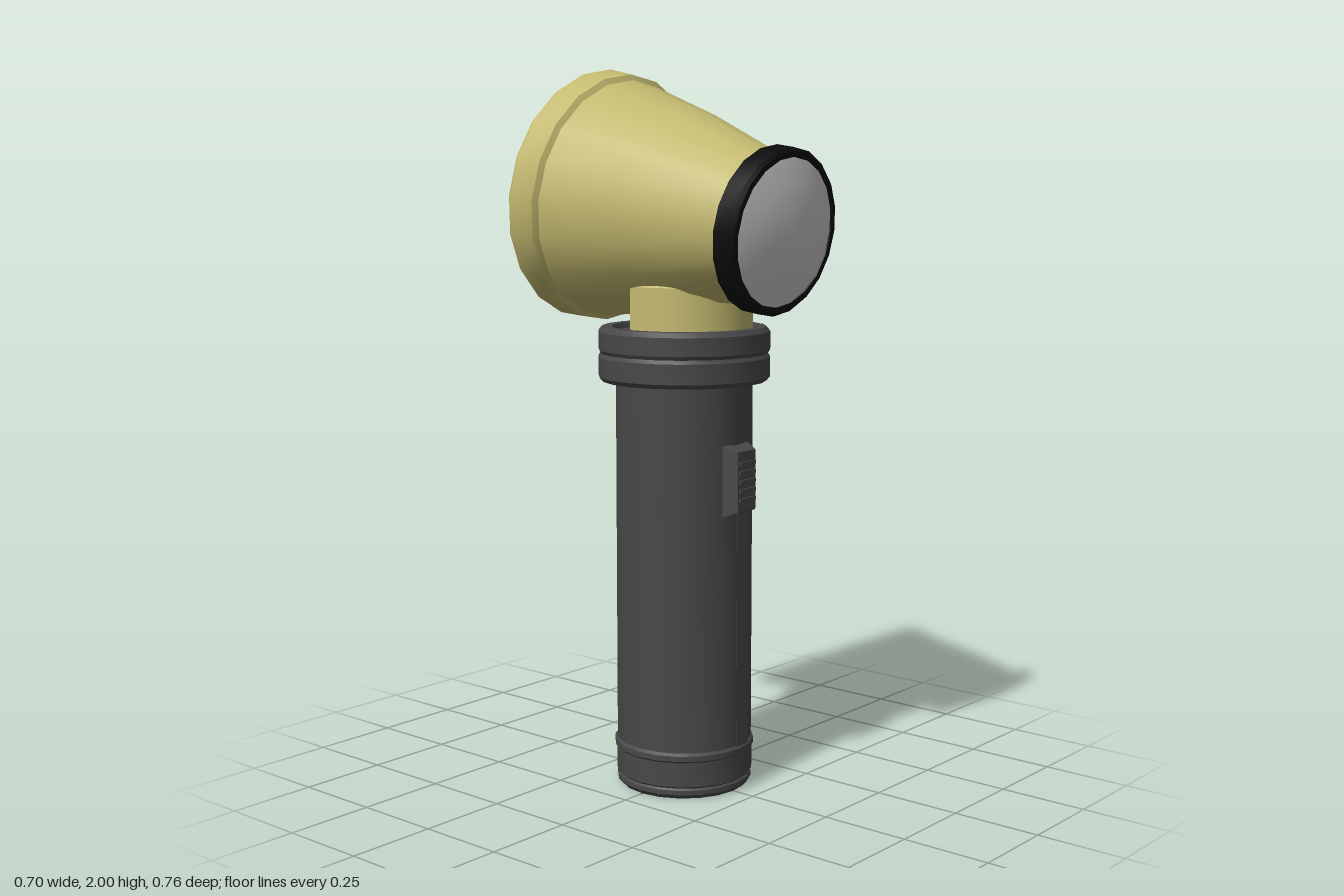
import * as THREE from 'three';
import { toCreasedNormals } from 'three/addons/utils/BufferGeometryUtils.js';

const SIDES = 20;
const mat = (color) => new THREE.MeshStandardMaterial({ color });
const khaki = mat(0xc4ba70);
const dark = mat(0x484848);
const black = mat(0x0c0c0c);
const grey = mat(0xcccccc);

function add(parent, name, geometry, material) {
  const mesh = new THREE.Mesh(geometry, material);
  mesh.name = name;
  parent.add(mesh);
  return mesh;
}

// Revolves a list of [radius, height] points, keeping hard edges
function lathe(points, crease = 0.45) {
  const profile = points.map(([r, y]) => new THREE.Vector2(r, y));
  return toCreasedNormals(new THREE.LatheGeometry(profile, SIDES), crease);
}

// Box whose front face is narrowed on all sides
function taperedBox(w, h, d, inset) {
  const geometry = new THREE.BoxGeometry(w, h, d);
  const p = geometry.attributes.position;
  for (let i = 0; i < p.count; i++) {
    if (p.getZ(i) > 0) {
      p.setX(i, p.getX(i) - Math.sign(p.getX(i)) * inset);
      p.setY(i, p.getY(i) - Math.sign(p.getY(i)) * inset);
    }
  }
  geometry.computeVertexNormals();
  return geometry;
}

function makeHandle() {
  const handle = new THREE.Group();
  handle.name = 'handle';

  // Barrel with end cap bands
  add(handle, 'barrel', lathe([
    [0, 0], [0.18, 0], [0.19, 0.012], [0.19, 0.025], [0.185, 0.03], [0.192, 0.036],
    [0.192, 0.105], [0.197, 0.11], [0.197, 0.125], [0.19, 0.132], [0.19, 1.16],
  ]), dark);

  // Collar with a groove around its middle
  add(handle, 'collar', lathe([
    [0.185, 1.145], [0.228, 1.145], [0.238, 1.157], [0.238, 1.212], [0.232, 1.222],
    [0.238, 1.232], [0.238, 1.282], [0.228, 1.295], [0.2, 1.295], [0.195, 1.28], [0, 1.28],
  ]), dark);

  // Rail below the switch
  add(handle, 'switchRail', new THREE.BoxGeometry(0.05, 0.66, 0.02), dark)
    .position.set(0.025, 0.46, 0.181);

  // Sliding switch with grip ridges
  add(handle, 'switchBase', taperedBox(0.12, 0.21, 0.06, 0.022), dark)
    .position.set(0, 0.885, 0.193);
  for (let i = 0; i < 5; i++) {
    add(handle, 'switchRidge', new THREE.BoxGeometry(0.065, 0.01, 0.012), dark)
      .position.set(0, 0.835 + i * 0.025, 0.223);
  }
  return handle;
}

// Half-round support between collar and head
function makeNeck() {
  const r = 0.18, back = Math.asin(0.02 / r);
  const shape = new THREE.Shape();
  shape.absarc(0, 0, r, Math.PI - back, Math.PI * 2 + back, false);
  shape.closePath();
  const geometry = new THREE.ExtrudeGeometry(shape, {
    depth: 0.13, bevelThickness: 0.01, bevelSize: 0.01, bevelSegments: 1, curveSegments: 10,
  });
  geometry.rotateX(-Math.PI / 2);
  const neck = new THREE.Mesh(toCreasedNormals(geometry, 0.5), khaki);
  neck.name = 'neck';
  neck.position.y = 1.28;
  return neck;
}

// Head is revolved from its wide rim (height 0) to the narrow front
function makeHead() {
  const head = new THREE.Group();
  head.name = 'head';

  add(head, 'shell', lathe([
    [0.335, 0], [0.343, 0], [0.351, 0.012], [0.346, 0.09], [0.331, 0.1],
    [0.279, 0.335], [0.19, 0.64],
  ], 0.4), khaki);

  // Concave reflector inside the wide end
  const bowl = [];
  for (let i = 0; i <= 8; i++) {
    const t = i / 8;
    bowl.push([0.336 * t, 0.24 * (1 - t * t)]);
  }
  add(head, 'reflector', lathe(bowl, 1), grey);

  // Black ring and domed lens at the narrow end
  add(head, 'frontRing', lathe([
    [0.18, 0.615], [0.215, 0.615], [0.224, 0.623], [0.224, 0.677], [0.216, 0.686],
    [0.2, 0.686], [0.195, 0.67],
  ]), black);
  add(head, 'lens', lathe([[0.2, 0.682], [0.14, 0.7], [0.07, 0.712], [0, 0.717]], 1), grey);

  head.rotation.x = THREE.MathUtils.degToRad(98);
  head.position.set(0, 1.652, -0.33);
  return head;
}

export function createModel() {
  const model = new THREE.Group();
  model.name = 'flashlight';
  model.add(makeHandle(), makeNeck(), makeHead());
  return model;
}
